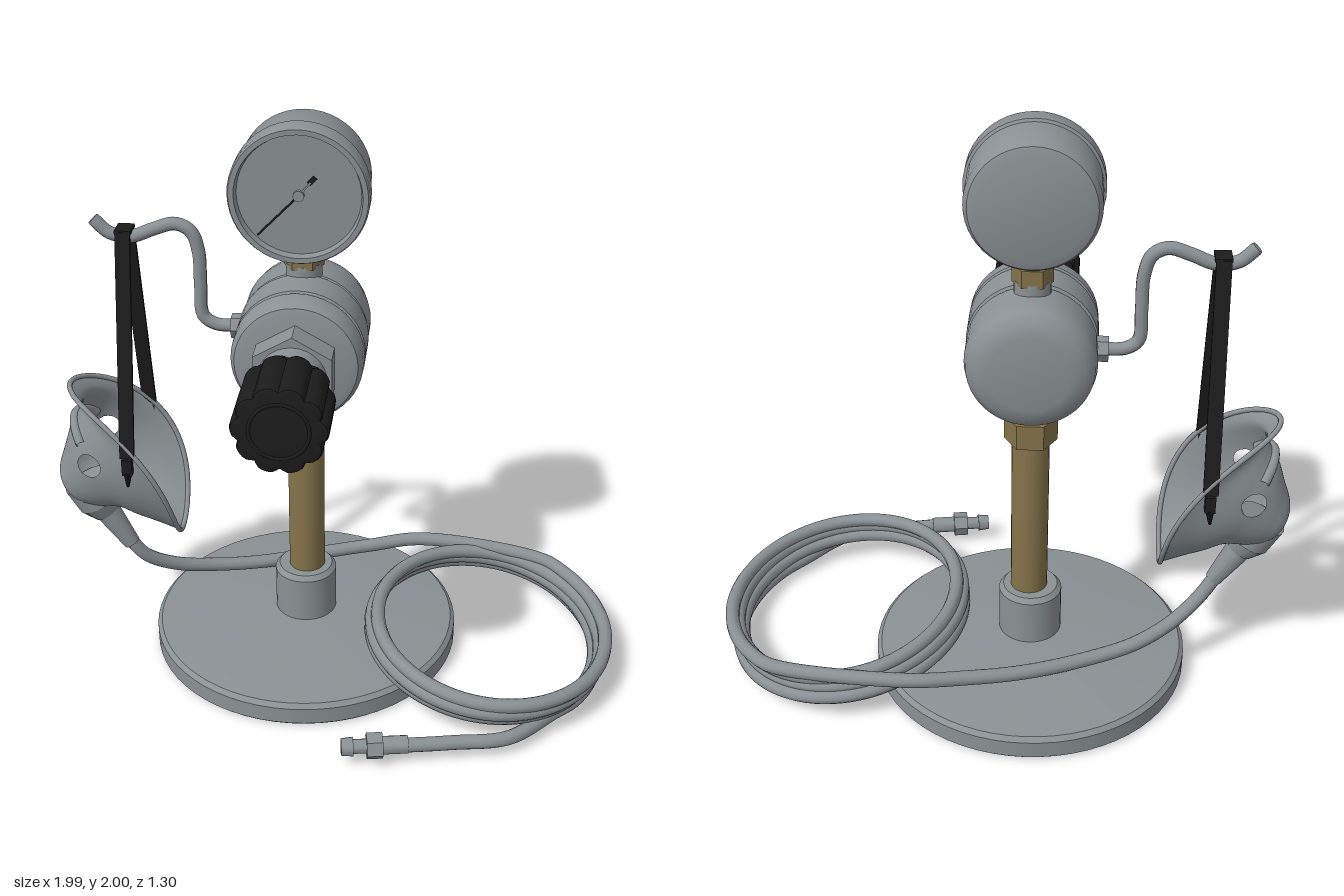
import * as THREE from 'three';
import { toCreasedNormals } from 'three/addons/utils/BufferGeometryUtils.js';

const V = (x, y, z) => new THREE.Vector3(x, y, z);
const CX = -0.108, CZ = -0.09; // axis of the stand

export function createModel() {
  const model = new THREE.Group();
  model.name = 'regulatorStand';
  const mat = (name, color, side = THREE.FrontSide) => {
    const m = new THREE.MeshStandardMaterial({ color, side });
    m.name = name;
    return m;
  };
  const grey = mat('greyMetal', 0x8a9194, THREE.DoubleSide);
  const brass = mat('brass', 0x85744a);
  const black = mat('blackRubber', 0x1c1c1c);

  const add = (name, geo, material, x = 0, y = 0, z = 0) => {
    const m = new THREE.Mesh(geo, material);
    m.name = name;
    m.position.set(x, y, z);
    model.add(m);
    return m;
  };
  const crease = (g) => toCreasedNormals(g, 0.6);
  const lathe = (pts, seg = 48) =>
    crease(new THREE.LatheGeometry(pts.map(([r, y]) => new THREE.Vector2(r, y)), seg));
  // Upright cylinder or prism between two heights
  const post = (name, r, y0, y1, material, sides = 24, turn = 0) =>
    add(name, crease(new THREE.CylinderGeometry(r, r, y1 - y0, sides).rotateY(turn)), material, CX, (y0 + y1) / 2, CZ);
  // Tapered rod between two points
  const rod = (name, a, b, r0, r1, material, sides = 20) => {
    const m = add(name, crease(new THREE.CylinderGeometry(r1, r0, a.distanceTo(b), sides)), material);
    m.position.copy(a).lerp(b, 0.5);
    m.quaternion.setFromUnitVectors(V(0, 1, 0), b.clone().sub(a).normalize());
    return m;
  };
  const tube = (name, pts, r, seg, material, closed = false) =>
    add(name, new THREE.TubeGeometry(new THREE.CatmullRomCurve3(pts, closed, 'centripetal'), seg, r, 10, closed), material);

  // Base and column
  add('base', lathe([[0, 0], [0.54, 0], [0.55, 0.01], [0.55, 0.07], [0.535, 0.085], [0.11, 0.13], [0, 0.13]], 64),
    grey, -0.115, 0, -0.1);
  add('baseCollar', lathe([[0.11, 0.1], [0.11, 0.295], [0.095, 0.312], [0, 0.312]], 32), grey, CX - 0.005, 0, CZ);
  post('column', 0.064, 0.3, 0.93, brass);
  post('columnNut', 0.09, 0.91, 1.0, brass, 6, Math.PI / 6);
  post('bodyLowerNeck', 0.07, 0.99, 1.08, grey);
  post('bodyUpperNeck', 0.06, 1.42, 1.5, grey);
  post('gaugeNut', 0.067, 1.49, 1.55, brass, 6, Math.PI / 6);
  post('gaugeStem', 0.055, 1.53, 1.6, brass);

  // Regulator body, turned about the z axis
  const body = lathe([[0, -0.275], [0.13, -0.275], [0.175, -0.265], [0.205, -0.235], [0.214, -0.19], [0.214, -0.075],
    [0.207, -0.07], [0.207, -0.06], [0.217, -0.055], [0.217, 0.075], [0.209, 0.08], [0.209, 0.09], [0.217, 0.095],
    [0.215, 0.145], [0.2, 0.172], [0.175, 0.18], [0, 0.18]]);
  add('regulatorBody', body.rotateX(Math.PI / 2), grey, CX, 1.25, 0);
  add('bonnetNut', crease(new THREE.CylinderGeometry(0.145, 0.145, 0.1, 6).rotateX(Math.PI / 2)), grey, CX, 1.25, 0.22);
  add('bonnet', crease(new THREE.CylinderGeometry(0.107, 0.112, 0.12, 28).rotateX(Math.PI / 2)), grey, CX, 1.25, 0.31);

  // Fluted knob
  const lobes = (r, depth) => {
    const s = new THREE.Shape();
    for (let i = 0; i < 100; i++) {
      const a = (i / 100) * Math.PI * 2;
      const q = r - depth * Math.pow(0.5 - 0.5 * Math.cos(a * 10), 2);
      s[i ? 'lineTo' : 'moveTo'](q * Math.cos(a), q * Math.sin(a));
    }
    s.closePath();
    return s;
  };
  const knob = (name, r, d, z0, z1, b) =>
    add(name, crease(new THREE.ExtrudeGeometry(lobes(r - b, d), {
      depth: z1 - z0 - 2 * b, bevelEnabled: true, bevelSize: b, bevelThickness: b, bevelSegments: 2,
    })), black, CX, 1.25, z0 + b);
  knob('knobSkirt', 0.13, 0.01, 0.345, 0.4, 0.01);
  knob('knobGrip', 0.15, 0.018, 0.38, 0.605, 0.015);
  add('knobCapRing', new THREE.TorusGeometry(0.092, 0.006, 8, 32), black, CX, 1.25, 0.604);

  // Pressure gauge with a recessed dial
  const gauge = lathe([[0, -0.2], [0.17, -0.2], [0.2, -0.19], [0.214, -0.165], [0.216, -0.02], [0.225, -0.015],
    [0.225, 0.05], [0.22, 0.06], [0.203, 0.06], [0.197, 0.035], [0, 0.035]]);
  add('gaugeCase', gauge.rotateX(Math.PI / 2), grey, CX, 1.775, 0);
  add('gaugeHub', new THREE.CylinderGeometry(0.018, 0.018, 0.012, 16).rotateX(Math.PI / 2), grey, CX, 1.775, 0.042);
  const needle = (name, x0, y0, x1, y1, w, material) => {
    const n = add(name, new THREE.BoxGeometry(Math.hypot(x1 - x0, y1 - y0), w, 0.004), material,
      (x0 + x1) / 2, (y0 + y1) / 2, 0.041);
    n.rotation.z = Math.atan2(y1 - y0, x1 - x0);
  };
  needle('gaugeNeedle', -0.24, 1.64, CX, 1.775, 0.006, black);
  needle('needleTail', CX, 1.775, -0.07, 1.82, 0.006, grey);
  needle('needleWeight', -0.075, 1.815, -0.055, 1.837, 0.016, black);

  // Hook arm
  rod('hookFitting', V(-0.355, 1.255, CZ), V(-0.3, 1.255, CZ), 0.042, 0.042, grey, 6);
  tube('hookArm', [V(-0.33, 1.255, CZ), V(-0.41, 1.26, CZ), V(-0.45, 1.29, CZ), V(-0.455, 1.4, CZ), V(-0.457, 1.52, CZ),
    V(-0.48, 1.59, CZ), V(-0.53, 1.615, CZ), V(-0.6, 1.595, CZ), V(-0.68, 1.565, CZ), V(-0.75, 1.575, CZ),
    V(-0.8, 1.62, CZ)], 0.022, 60, grey);
  rod('hookTip', V(-0.79, 1.61, CZ), V(-0.803, 1.623, CZ), 0.022, 0.02, grey);

  // Mask straps hanging from the hook
  add('strapTop', new THREE.BoxGeometry(0.055, 0.012, 0.07), black, -0.7, 1.59, CZ);
  for (const s of [-1, 1]) {
    const dy = 0.76, dz = 0.163;
    const strap = add(s > 0 ? 'frontStrap' : 'backStrap', new THREE.BoxGeometry(0.05, Math.hypot(dy, dz), 0.012), black,
      -0.7, 1.59 - dy / 2, CZ + s * (0.032 + dz / 2));
    strap.rotation.x = -s * Math.atan2(dz, dy);
    add('strapBuckle', new THREE.BoxGeometry(0.035, 0.06, 0.025), black, -0.7, 0.8, CZ + s * 0.2);
    rod('strapEnd', V(-0.7, 0.78, CZ + s * 0.2), V(-0.705, 0.715, CZ + s * 0.19), 0.016, 0.005, black, 8);
  }

  // Mask shell: rings given by top (x, y), bottom (x, y), half width and forward bow of the sides
  const rings = [
    [-0.93, 1.01, -0.56, 0.44, 0.195, 0.12], [-0.89, 0.965, -0.63, 0.47, 0.18, 0.08],
    [-0.9, 0.92, -0.7, 0.5, 0.165, 0.035], [-0.935, 0.86, -0.76, 0.53, 0.145, 0.01],
    [-0.965, 0.77, -0.85, 0.53, 0.118, 0], [-0.99, 0.69, -0.91, 0.55, 0.085, -0.005], [-0.985, 0.63, -0.965, 0.6, 0.008, 0],
  ];
  const ringAt = (u) => rings[0].map((_, k) => {
    const i = Math.min(Math.floor(u * 6), 5), f = u * 6 - i;
    const p = (j) => rings[Math.max(0, Math.min(6, j))][k];
    const a = (p(i + 1) - p(i - 1)) / 2, b = (p(i + 2) - p(i)) / 2, d = p(i + 1) - p(i);
    return p(i) + f * (a + f * (3 * d - 2 * a - b + f * (a + b - 2 * d)));
  });
  const maskPoint = (u, t) => {
    const [tx, ty, bx, by, w, bow] = ringAt(u);
    const c = Math.cos(t), s = Math.sin(t), q = (1 - c) / 2;
    return V(tx + (bx - tx) * q + 0.84 * bow * s * s, ty + (by - ty) * q + 0.54 * bow * s * s, CZ + w * s);
  };
  const ROWS = 48, COLS = 96, HOLE = 0.043, pos = [], idx = [], cut = [];
  for (let i = 0; i <= ROWS; i++) for (let j = 0; j < COLS; j++) {
    const p = maskPoint(i / ROWS, (j / COLS) * Math.PI * 2);
    const dx = p.x + 0.85, dy = p.y - 0.76, d = Math.hypot(dx, dy) || 1;
    // Round vent holes: vertices inside are pushed out to the edge
    const inside = d < HOLE + 0.001 && Math.abs(p.z - CZ) > 0.05;
    if (inside) { p.x = -0.85 + dx / d * HOLE; p.y = 0.76 + dy / d * HOLE; }
    cut.push(inside);
    pos.push(p.x, p.y, p.z);
  }
  const tri = (a, b, c) => { if (!(cut[a] && cut[b] && cut[c])) idx.push(a, b, c); };
  for (let i = 0; i < ROWS; i++) for (let j = 0; j < COLS; j++) {
    const a = i * COLS + j, b = i * COLS + (j + 1) % COLS;
    tri(a, a + COLS, b);
    tri(b, a + COLS, b + COLS);
  }
  const shell = new THREE.BufferGeometry();
  shell.setAttribute('position', new THREE.Float32BufferAttribute(pos, 3));
  shell.setIndex(idx);
  shell.computeVertexNormals();
  add('maskShell', shell, grey);
  tube('maskRim', Array.from({ length: 32 }, (_, i) => maskPoint(0, (i / 32) * Math.PI * 2)), 0.009, 96, grey, true);
  tube('noseBar', Array.from({ length: 9 }, (_, i) => maskPoint(0.43, (i / 8 - 0.5) * 1.7)), 0.018, 24, grey);

  // Mask outlet and hose
  rod('maskOutlet', V(-0.905, 0.615, CZ), V(-0.862, 0.53, CZ), 0.085, 0.078, grey);
  rod('outletCone', V(-0.862, 0.53, CZ), V(-0.835, 0.485, CZ), 0.075, 0.05, grey);
  rod('hoseCuff', V(-0.84, 0.495, CZ), V(-0.755, 0.355, CZ), 0.047, 0.03, grey);
  const path = [V(-0.77, 0.38, CZ), V(-0.71, 0.29, -0.11), V(-0.61, 0.215, -0.17), V(-0.48, 0.17, -0.24),
    V(-0.3, 0.148, -0.31), V(-0.1, 0.148, -0.385), V(0.1, 0.16, -0.44), V(0.3, 0.175, -0.48)];
  const TURNS = 3.4, STEPS = 82;
  for (let i = 2; i <= STEPS; i++) {
    const f = i / STEPS, a = -Math.PI / 2 + f * TURNS * Math.PI * 2;
    const wob = 0.018 * Math.sin(f * 17);
    path.push(V(0.555 + (0.405 + wob) * Math.cos(a), 0.18 - 0.105 * f - 0.042 * Math.cos(a), (0.465 + wob) * Math.sin(a)));
  }
  path.push(V(0.63, 0.06, 0.515), V(0.45, 0.065, 0.56), V(0.3, 0.068, 0.59), V(0.2, 0.07, 0.605));
  tube('hose', path, 0.025, 420, grey);

  // Hose end fitting
  const end = (t) => V(0.3 - 0.22 * t, 0.07, 0.588 + 0.035 * t);
  rod('fittingSleeve', end(0), end(0.4), 0.03, 0.03, grey);
  rod('fittingNut', end(0.38), end(0.62), 0.046, 0.046, grey, 6);
  rod('fittingNeck', end(0.6), end(0.85), 0.024, 0.024, grey);
  rod('fittingTip', end(0.82), end(1), 0.032, 0.028, grey);

  return model;
}
